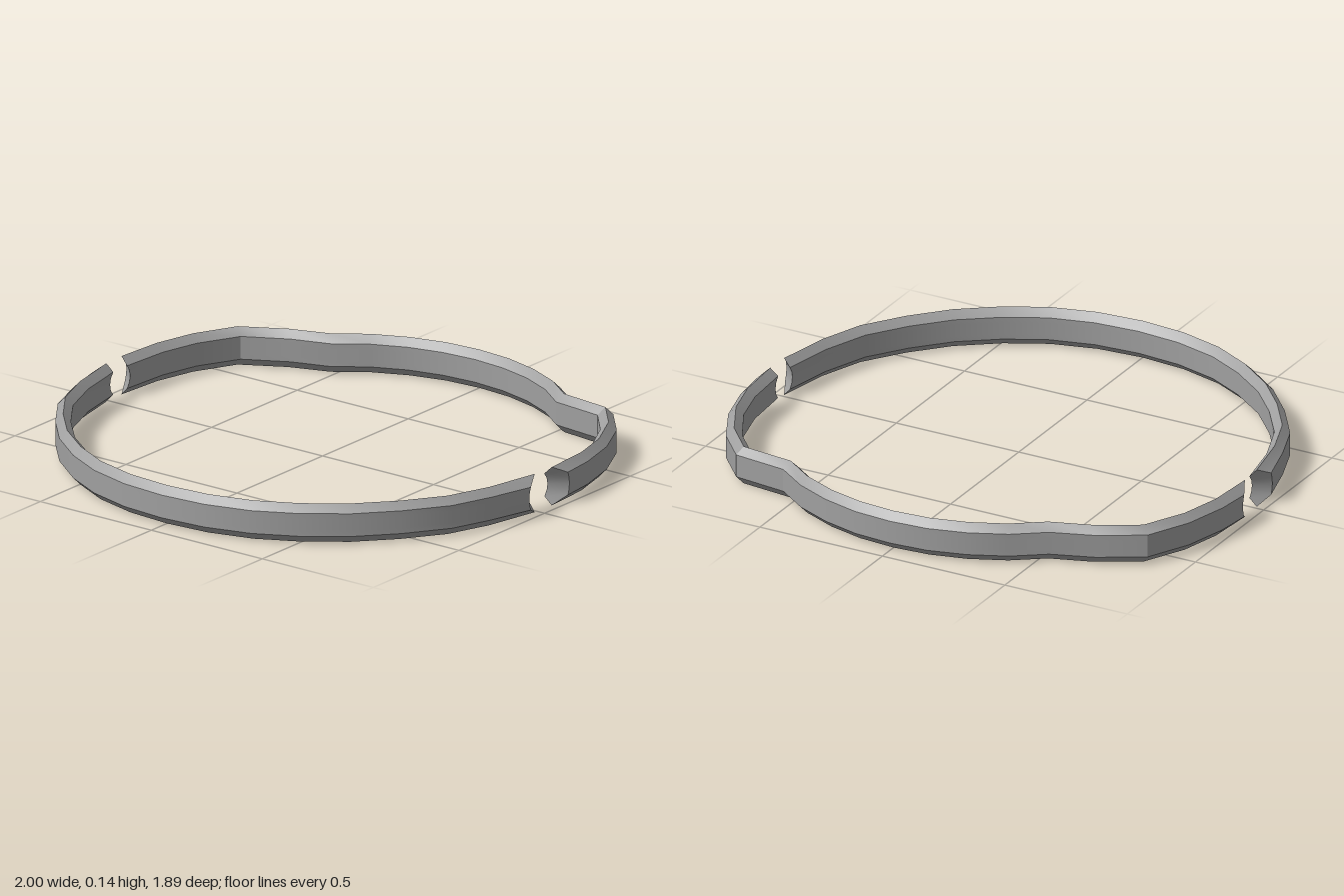
import * as THREE from 'three';
import { toCreasedNormals, mergeVertices } from 'three/addons/utils/BufferGeometryUtils.js';

// Height levels of the six-sided section; the first and last are the ridges
const LEVELS = [0, 0.03, 0.05, 0.0725, 0.095, 0.116, 0.145];
const TOP = LEVELS.length - 1;
const MID_Y = 0.0725;

// Countersunk screw hole across each joint
const HOLE_Z = -0.035, HOLE_INNER = 0.06, HOLE_OUTER = 0.113;

// Stations from above: [outer x, outer z, inner x, inner z]
const frontSide = [
  [0.18, 0.925, 0.17, 0.864], [0.353, 0.877, 0.335, 0.82], [0.508, 0.797, 0.48, 0.745],
  [0.658, 0.684, 0.62, 0.642], [0.78, 0.55, 0.735, 0.517], [0.888, 0.396, 0.835, 0.375],
  [0.945, 0.24, 0.9, 0.2], [0.992, 0.064, 0.938, 0],
];
const backMiddle = [[0.147, -0.936, 0.135, -0.877], [0.289, -0.898, 0.267, -0.845], [0.425, -0.837, 0.395, -0.788], [0.543, -0.752, 0.508, -0.706]];
const backEnd = [[0.861, -0.602, 0.81, -0.572], [0.941, -0.44, 0.89, -0.418], [0.984, -0.272, 0.927, -0.27], [0.998, -0.139, 0.94, -0.086]];

const mirror = (s) => [-s[0], s[1], -s[2], s[3]];

// Point of a station: u = 0 inner, 1 outer; end stations follow the hole's cone
function sectionPoint(s, level, u, endSide) {
  const y = LEVELS[level];
  const x = s[2] + (s[0] - s[2]) * u;
  let z = s[3] + (s[1] - s[3]) * u;
  if (endSide) {
    const r = HOLE_INNER + (HOLE_OUTER - HOLE_INNER) * u;
    z = HOLE_Z + endSide * Math.sqrt(Math.max(0, r * r - (y - MID_Y) ** 2));
  }
  return [x, y, z];
}

// Sweeps the section along the stations and closes both ends
function bandGeometry(stations, endSide) {
  const pos = [], idx = [];
  const n = TOP * 2, last = stations.length - 1;
  stations.forEach((s, i) => {
    const side = i === 0 || i === last ? endSide : 0;
    for (let j = 0; j < n; j++) {
      const level = j <= TOP ? j : n - j;
      const u = level === 0 || level === TOP ? 0.5 : j < TOP ? 1 : 0;
      pos.push(...sectionPoint(s, level, u, side));
    }
  });
  const quad = (a, b, c, d) => idx.push(a, b, c, a, c, d);
  for (let i = 0; i < last; i++) {
    for (let j = 0; j < n; j++) {
      const k = (j + 1) % n;
      quad(i * n + j, i * n + k, (i + 1) * n + k, (i + 1) * n + j);
    }
  }
  // Concave end faces join the outer and inner edges level by level
  for (let k = 0; k < TOP; k++) {
    const inner = (n - k) % n, innerUp = n - k - 1;
    quad(k, inner, innerUp, k + 1);
    const o = last * n;
    quad(o + k, o + k + 1, o + innerUp, o + inner);
  }
  const geometry = new THREE.BufferGeometry();
  geometry.setAttribute('position', new THREE.Float32BufferAttribute(pos, 3));
  geometry.setIndex(idx);
  return toCreasedNormals(mergeVertices(geometry), 0.5);
}

export function createModel() {
  const group = new THREE.Group();
  group.name = 'splitRing';
  const metal = new THREE.MeshStandardMaterial({ color: 0xa0a0a0 });
  metal.name = 'grey metal';

  const add = (name, stations, endSide) => {
    const mesh = new THREE.Mesh(bandGeometry(stations, endSide), metal);
    mesh.name = name;
    group.add(mesh);
  };

  // Front half: an even arc from left to right
  add('frontBand', [...[...frontSide].reverse(), [0, 0.94, 0, 0.877], ...frontSide.map(mirror)], 1);

  // Back half: a bulging middle with a sharper shoulder on the left
  add('backBand', [
    ...[...backEnd].reverse().map(mirror),
    [-0.7, -0.695, -0.652, -0.658],
    ...[...backMiddle].reverse().map(mirror),
    [0, -0.947, 0, -0.888],
    ...backMiddle,
    [0.749, -0.727, 0.71, -0.685],
    ...backEnd,
  ], -1);
  return group;
}
